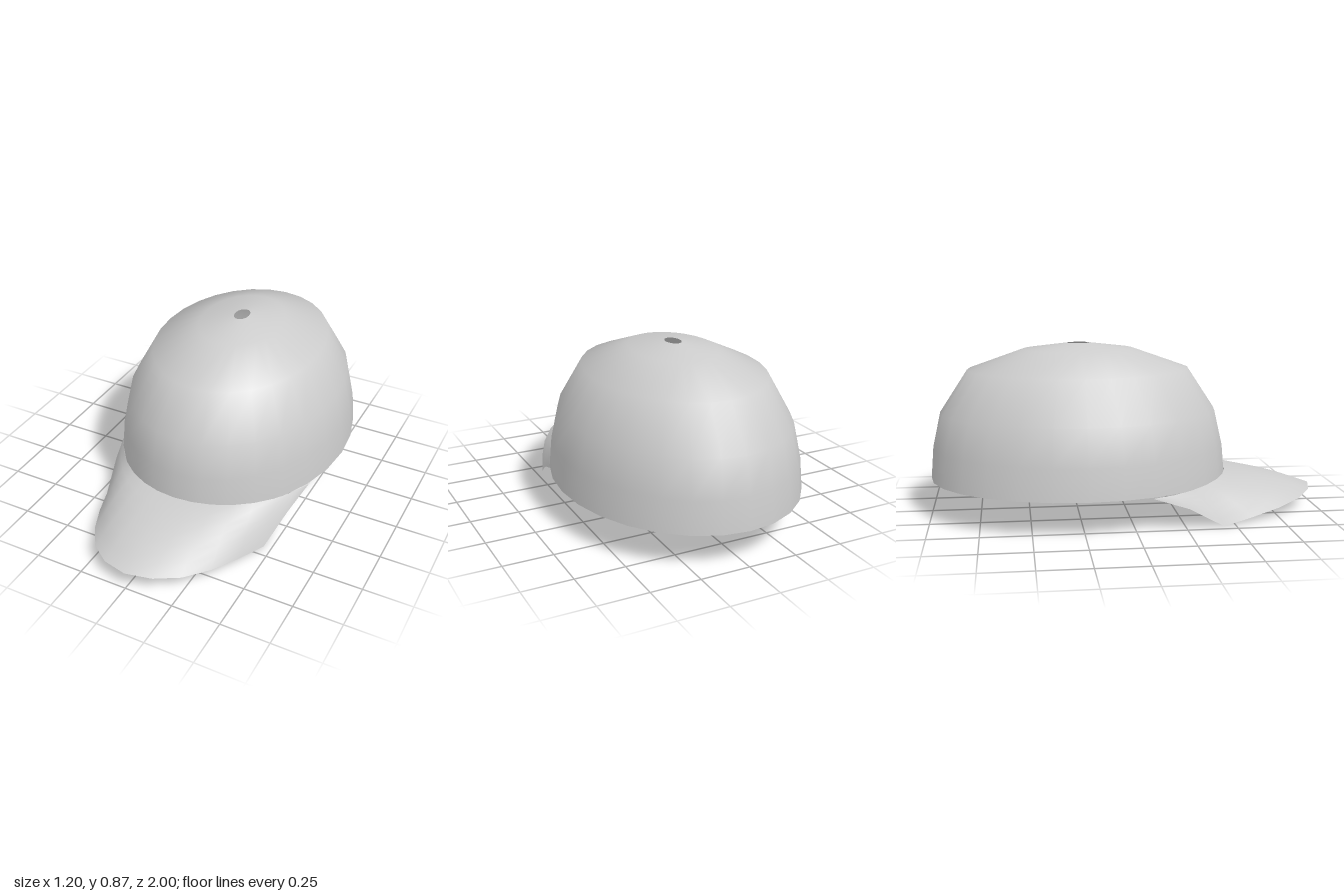
import * as THREE from 'three';
import { mergeVertices } from 'three/addons/utils/BufferGeometryUtils.js';

const CENTRE_Z = -0.2375;
const RX = 0.6, RZ = 0.7625;

// Smooth grid surface; point(i, j) gives the corner at column i, row j
function gridSurface(cols, rows, point) {
  const positions = [], index = [];
  for (let i = 0; i <= cols; i++) {
    for (let j = 0; j <= rows; j++) positions.push(...point(i, j));
  }
  for (let i = 0; i < cols; i++) {
    for (let j = 0; j < rows; j++) {
      const a = i * (rows + 1) + j, b = a + rows + 1;
      index.push(a, b, b + 1, a, b + 1, a + 1);
    }
  }
  let geometry = new THREE.BufferGeometry();
  geometry.setAttribute('position', new THREE.Float32BufferAttribute(positions, 3));
  geometry.setIndex(index);
  geometry = mergeVertices(geometry, 1e-4);
  geometry.computeVertexNormals();
  return geometry;
}

// Crown: oval rings stacked up to the small vent hole
function crownGeometry() {
  const rings = [ // y, half width, half depth
    [0.18, RX, RZ],
    [0.34, 0.585, 0.749],
    [0.52, 0.546, 0.708],
    [0.735, 0.43, 0.567],
    [0.836, 0.21, 0.284],
    [0.866, 0.038, 0.057],
  ];
  const sides = 28;
  return gridSurface(sides, rings.length - 1, (i, j) => {
    const a = (i / sides) * Math.PI * 2;
    const [y, rx, rz] = rings[j];
    return [rx * Math.sin(a), y, CENTRE_Z + rz * Math.cos(a)];
  });
}

// Brim: spans from its drooping outer edge to the front of the crown's rim
function brimGeometry() {
  const outer = [ // half of the outer edge, from the front tip to the side end
    [0, 0.095, 1],
    [0.13, 0.088, 0.965],
    [0.24, 0.07, 0.88],
    [0.33, 0.048, 0.75],
    [0.4, 0.025, 0.6],
    [0.46, 0, 0.44],
    [0.505, 0.105, 0.26],
    [0.545, 0.175, 0.07],
  ];
  const half = outer.length - 1, rows = 6;
  const spread = THREE.MathUtils.degToRad(66);
  return gridSurface(half * 2, rows, (i, j) => {
    const u = (i - half) / half;
    const side = Math.sign(u);
    const [ox, oy, oz] = outer[Math.abs(i - half)];
    const ix = RX * Math.sin(u * spread);
    const iy = 0.175 + 0.03 * (1 - u * u) ** 2;
    const iz = CENTRE_Z + RZ * Math.cos(u * spread);
    const v = j / rows;
    const bulge = 0.06 * v * (1 - v) * (1 - u * u);
    return [
      THREE.MathUtils.lerp(side * ox, ix, v),
      THREE.MathUtils.lerp(oy, iy, v) + bulge,
      THREE.MathUtils.lerp(oz, iz, v),
    ];
  });
}

export function createModel() {
  const cloth = new THREE.MeshStandardMaterial({ color: 0xcccccc, side: THREE.DoubleSide });
  cloth.name = 'light grey cloth';

  const group = new THREE.Group();
  group.name = 'cap';
  const parts = { crown: crownGeometry(), brim: brimGeometry() };
  for (const [name, geometry] of Object.entries(parts)) {
    const mesh = new THREE.Mesh(geometry, cloth);
    mesh.name = name;
    group.add(mesh);
  }
  return group;
}
